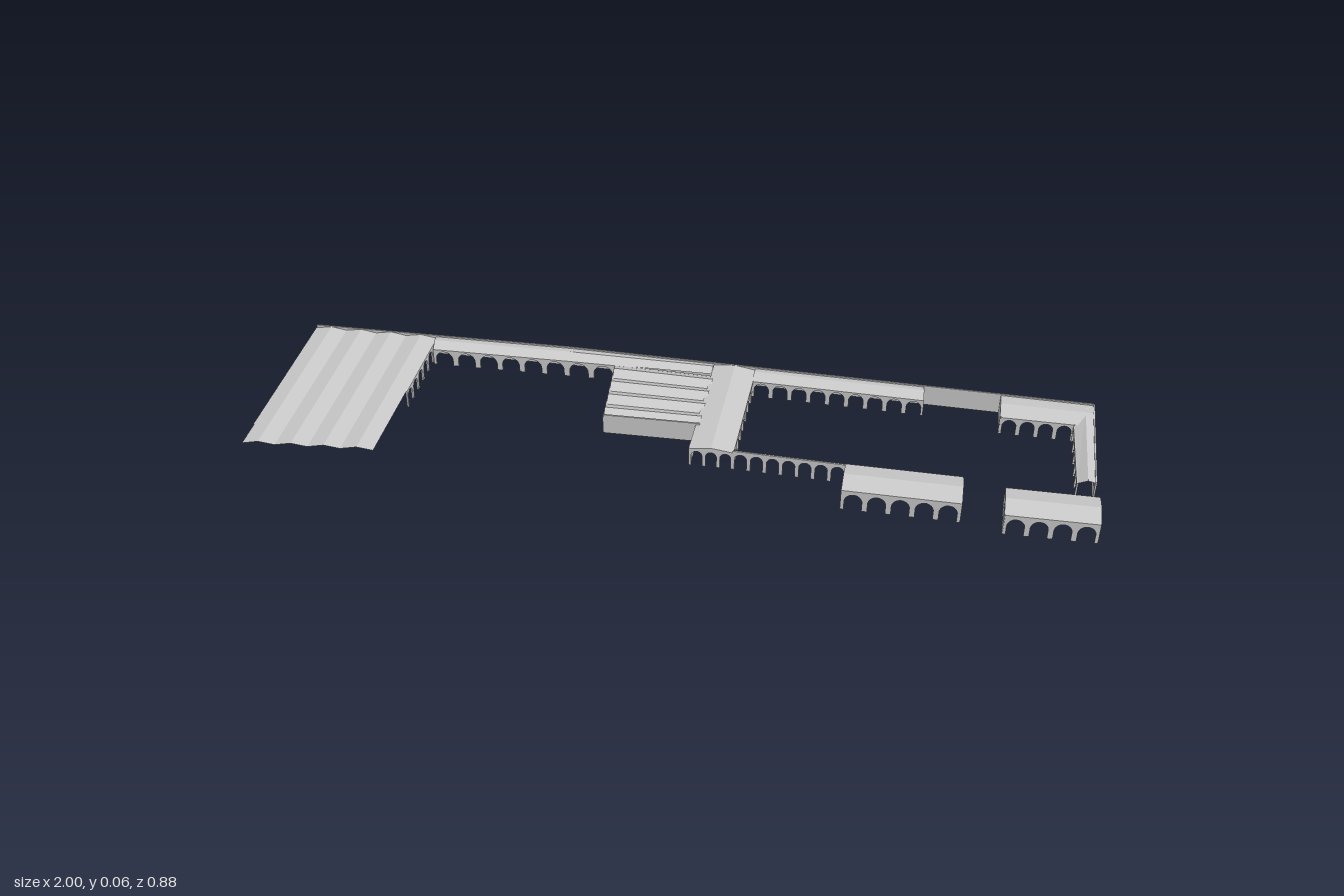
import * as THREE from 'three';

const mat = new THREE.MeshStandardMaterial({ color: 0xcccccc, side: THREE.DoubleSide, flatShading: true });
const mix = (a, b, t) => [a[0] + (b[0] - a[0]) * t, a[1] + (b[1] - a[1]) * t];

// Plan corners [x, z]
const NW = [-0.893, -0.438], NW2 = [-0.585, -0.374], BEND = [-0.246, -0.305];
const HALL_NW = [0.112, -0.219], PORT_E = [0.61, -0.097], NE = [1, 0];

export function createModel() {
  const model = new THREE.Group();

  function add(name, geometry) {
    const mesh = new THREE.Mesh(geometry, mat);
    mesh.name = name;
    model.add(mesh);
    return mesh;
  }

  // Thin upright wall from a to b, with n round arches (a sill makes them windows)
  function wall(name, a, b, { n = 0, h = 0.052, top = 0.043, fill = 0.76, sill = 0, peak = 0, span = 1 } = {}) {
    const dx = b[0] - a[0], dz = b[1] - a[1], len = Math.hypot(dx, dz);
    const pitch = (len * span) / Math.max(n, 1), r = (pitch * fill) / 2;
    const start = (len * (1 - span)) / 2;
    const shape = new THREE.Shape();
    shape.moveTo(0, 0);
    for (let i = 0; i < n; i++) {
      const c = start + pitch * (i + 0.5);
      const path = sill ? new THREE.Path() : shape;
      if (sill) path.moveTo(c - r, sill);
      else path.lineTo(c - r, 0);
      path.lineTo(c - r, top - r);
      path.absarc(c, top - r, r, Math.PI, 0, true);
      path.lineTo(c + r, sill);
      if (sill) {
        path.closePath();
        shape.holes.push(path);
      }
    }
    shape.lineTo(len, 0);
    shape.lineTo(len, h);
    if (peak) shape.lineTo(len / 2, peak);
    shape.lineTo(0, h);
    shape.closePath();
    const t = 0.004;
    const geo = new THREE.ExtrudeGeometry(shape, { depth: t, bevelEnabled: false, curveSegments: 8 });
    geo.translate(0, 0, -t / 2);
    const mesh = add(name, geo);
    mesh.position.set(a[0], 0, a[1]);
    mesh.rotation.y = Math.atan2(-dz, dx);
  }

  // Folded roof: profile of [fraction, height] runs from edge a-b across to edge d-c
  function roof(name, [a, b, c, d], profile) {
    const pos = [];
    for (let i = 0; i < profile.length - 1; i++) {
      const [t0, y0] = profile[i], [t1, y1] = profile[i + 1];
      const p = mix(a, d, t0), q = mix(b, c, t0), r = mix(b, c, t1), s = mix(a, d, t1);
      const P = [p[0], y0, p[1]], Q = [q[0], y0, q[1]], R = [r[0], y1, r[1]], S = [s[0], y1, s[1]];
      pos.push(...P, ...S, ...R, ...P, ...R, ...Q);
    }
    const geo = new THREE.BufferGeometry();
    geo.setAttribute('position', new THREE.Float32BufferAttribute(pos, 3));
    geo.computeVertexNormals();
    add(name, geo);
  }
  const folds = (n, low, high) =>
    Array.from({ length: 2 * n + 1 }, (_, i) => [i / (2 * n), i % 2 ? high : low]);
  const porchProfile = [[0, 0.05], [0.45, 0.054], [1, 0.044]];

  // Long perimeter wall at the back, bending slightly
  wall('backWallWest', NW, BEND, { h: 0.054 });
  wall('backWallEast', BEND, NE, { h: 0.054 });

  // Large western hall under a folded roof, open to the south
  const westSW = [-1, 0.048], westSE = [-0.695, 0.091];
  roof('westHallRoof', [NW, westSW, westSE, NW2], folds(4, 0.046, 0.053));
  wall('westHallWall', NW, mix(NW, westSW, 0.45), { n: 3, h: 0.046, top: 0.037, sill: 0.022, fill: 0.3 });
  wall('westHallArcade', mix(NW, westSW, 0.45), mix(NW, westSW, 0.85), { n: 5, h: 0.046, top: 0.04 });
  wall('westHallEastArcade', NW2, mix(NW2, westSE, 0.5), { n: 6, h: 0.046, top: 0.04 });

  // Western portico along the back wall
  const porchW = [-0.59, -0.326], porchBend = [-0.255, -0.258], porchE = [0.1, -0.183];
  const porchMid = [-0.134, -0.232];
  roof('westPorticoRoof', [NW2, BEND, porchBend, porchW], porchProfile);
  roof('westPorticoRoof', [BEND, HALL_NW, porchE, porchBend], porchProfile);
  wall('westPorticoArcade', porchW, porchBend, { n: 6, h: 0.044, top: 0.039 });
  wall('westPorticoArcade', porchBend, porchMid, { n: 2, h: 0.044, top: 0.039 });

  // Block with four parallel gabled bays
  const bayNE = [0.107, -0.171], baySE = [0.059, 0.03], baySW = [-0.166, -0.016];
  roof('bayRoof', [porchMid, bayNE, baySE, baySW], folds(4, 0.043, 0.054));
  wall('baySouthWall', baySW, baySE, { h: 0.052 });
  wall('bayNorthWall', porchMid, bayNE, { h: 0.044 });
  wall('bayWestWall', porchMid, baySW, { n: 4, h: 0.044, top: 0.036, fill: 0.5 });

  // Cross hall between the bays and the courtyard
  const hallNE = [0.21, -0.194], hallSE = [0.128, 0.139], hallSW = [0.03, 0.118];
  roof('crossHallRoof', [HALL_NW, hallSW, hallSE, hallNE], [[0, 0.048], [0.5, 0.054], [1, 0.046]]);
  wall('crossHallWestWall', HALL_NW, hallSW, { h: 0.048 });
  wall('crossHallEastArcade', hallNE, hallSE, { n: 9, h: 0.046, top: 0.04 });
  wall('crossHallFront', hallSW, hallSE, { n: 3, h: 0.047, top: 0.041, peak: 0.054 });

  // Courtyard: south arcade and north portico
  wall('courtSouthArcade', hallSE, [0.38, 0.203], { n: 7, h: 0.052 });
  const courtW = [0.198, -0.148], courtE = [0.602, -0.048];
  roof('courtPorticoRoof', [hallNE, PORT_E, courtE, courtW], porchProfile);
  wall('courtPorticoArcade', courtW, courtE, { n: 9, h: 0.044, top: 0.039 });

  // Free-standing gabled pavilions, arcaded on both long sides
  const pavilion = (name, [a, b, c, d], n) => {
    roof(name + 'Roof', [a, b, c, d], [[0, 0.053], [0.5, 0.063], [1, 0.053]]);
    wall(name + 'NorthArcade', a, b, { n, h: 0.053 });
    wall(name + 'SouthArcade', d, c, { n, h: 0.053 });
    for (const [p, q] of [[a, d], [b, c]])
      wall(name + 'EndWall', p, q, { n: 1, span: 0.36, h: 0.053, peak: 0.063 });
  };
  pavilion('southPavilion', [[0.38, 0.203], [0.634, 0.262], [0.613, 0.353], [0.358, 0.294]], 5);
  pavilion('gatePavilion', [[0.722, 0.305], [0.92, 0.348], [0.898, 0.438], [0.7, 0.396]], 4);

  // North-east room
  const roomNW = [0.79, -0.053], roomSW = [0.77, 0.032], roomSE = [0.936, 0.07];
  roof('cornerRoomRoof', [roomNW, NE, [0.978, 0.08], roomSW], [[0, 0.05], [0.5, 0.056], [1, 0.047]]);
  wall('cornerRoomArcade', roomSW, roomSE, { n: 4, h: 0.047, top: 0.041 });
  wall('cornerRoomEndWall', roomNW, roomSW, { h: 0.048, peak: 0.056 });

  // East wall with small windows, and its portico
  const eastS = [0.927, 0.294], eastIn = [0.888, 0.285];
  wall('eastWall', NE, eastS, { n: 7, h: 0.053, top: 0.038, sill: 0.028, fill: 0.2 });
  roof('eastPorticoRoof', [NE, eastS, eastIn, [0.944, 0.037]], porchProfile);
  wall('eastPorticoArcade', roomSE, eastIn, { n: 5, h: 0.044, top: 0.039 });

  return model;
}
